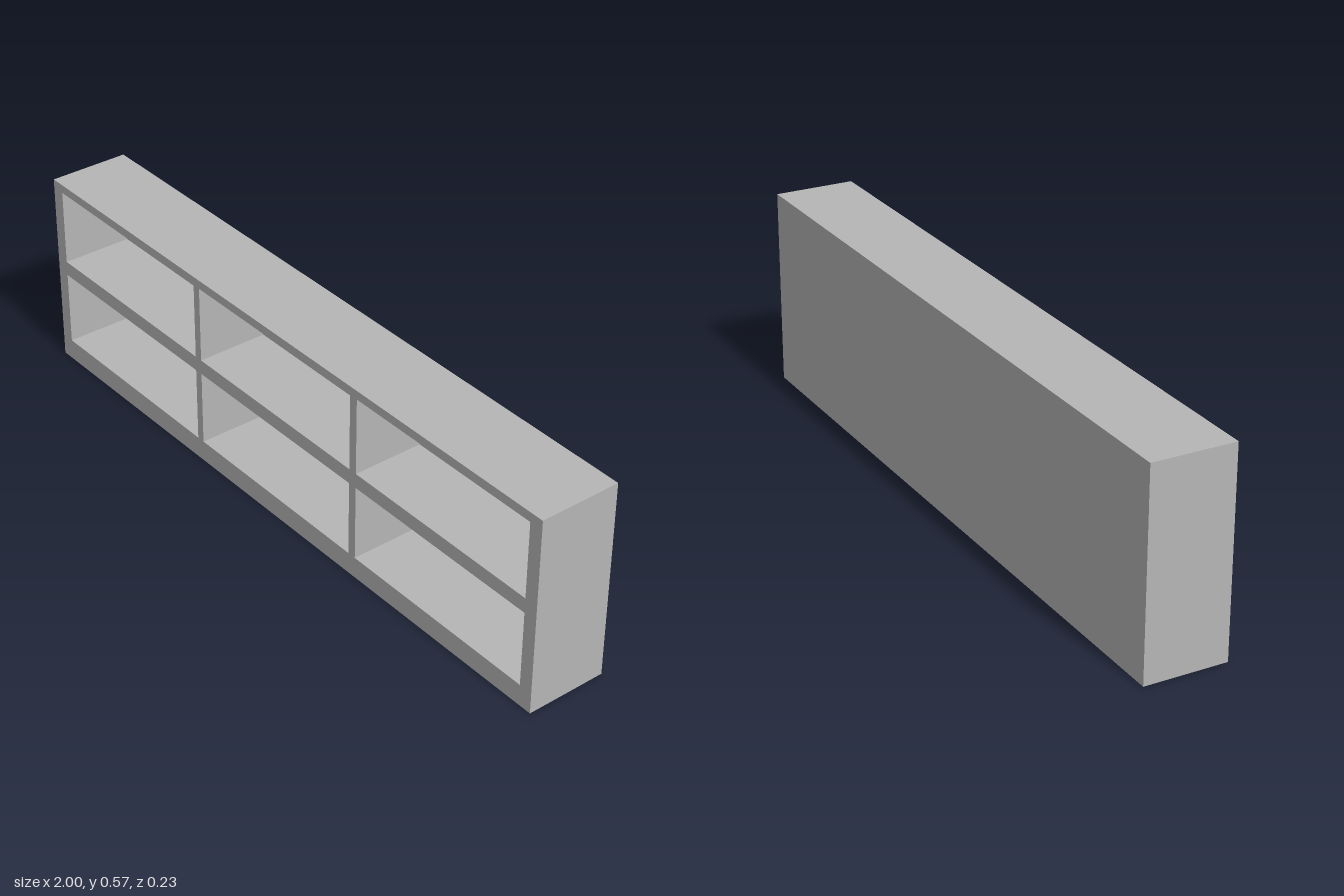
import * as THREE from 'three';

const HEIGHT = 0.573, DEPTH = 0.234, BACK = 0.027;
const COLUMNS = [[-0.96, -0.339], [-0.315, 0.311], [0.337, 0.96]];
const ROWS = [[0.062, 0.282], [0.325, 0.548]];

// Traces an axis-aligned rectangle on a Shape or Path
function rect(path, x0, y0, x1, y1) {
  path.moveTo(x0, y0);
  path.lineTo(x1, y0);
  path.lineTo(x1, y1);
  path.lineTo(x0, y1);
  path.closePath();
  return path;
}

export function createModel() {
  const group = new THREE.Group();
  group.name = 'shelfUnit';
  const grey = new THREE.MeshStandardMaterial({ color: 0xb6b6b6 });
  grey.name = 'grey';

  // Frame with six open compartments
  const outline = rect(new THREE.Shape(), -1, 0, 1, HEIGHT);
  for (const [x0, x1] of COLUMNS) {
    for (const [y0, y1] of ROWS) outline.holes.push(rect(new THREE.Path(), x0, y0, x1, y1));
  }
  const frame = new THREE.Mesh(
    new THREE.ExtrudeGeometry(outline, { depth: DEPTH - BACK, bevelEnabled: false }), grey);
  frame.name = 'compartmentFrame';
  frame.position.z = -DEPTH / 2 + BACK;
  group.add(frame);

  // Solid back panel closing the compartments
  const panel = new THREE.Mesh(new THREE.BoxGeometry(2, HEIGHT, BACK), grey);
  panel.name = 'backPanel';
  panel.position.set(0, HEIGHT / 2, -DEPTH / 2 + BACK / 2);
  group.add(panel);

  return group;
}
